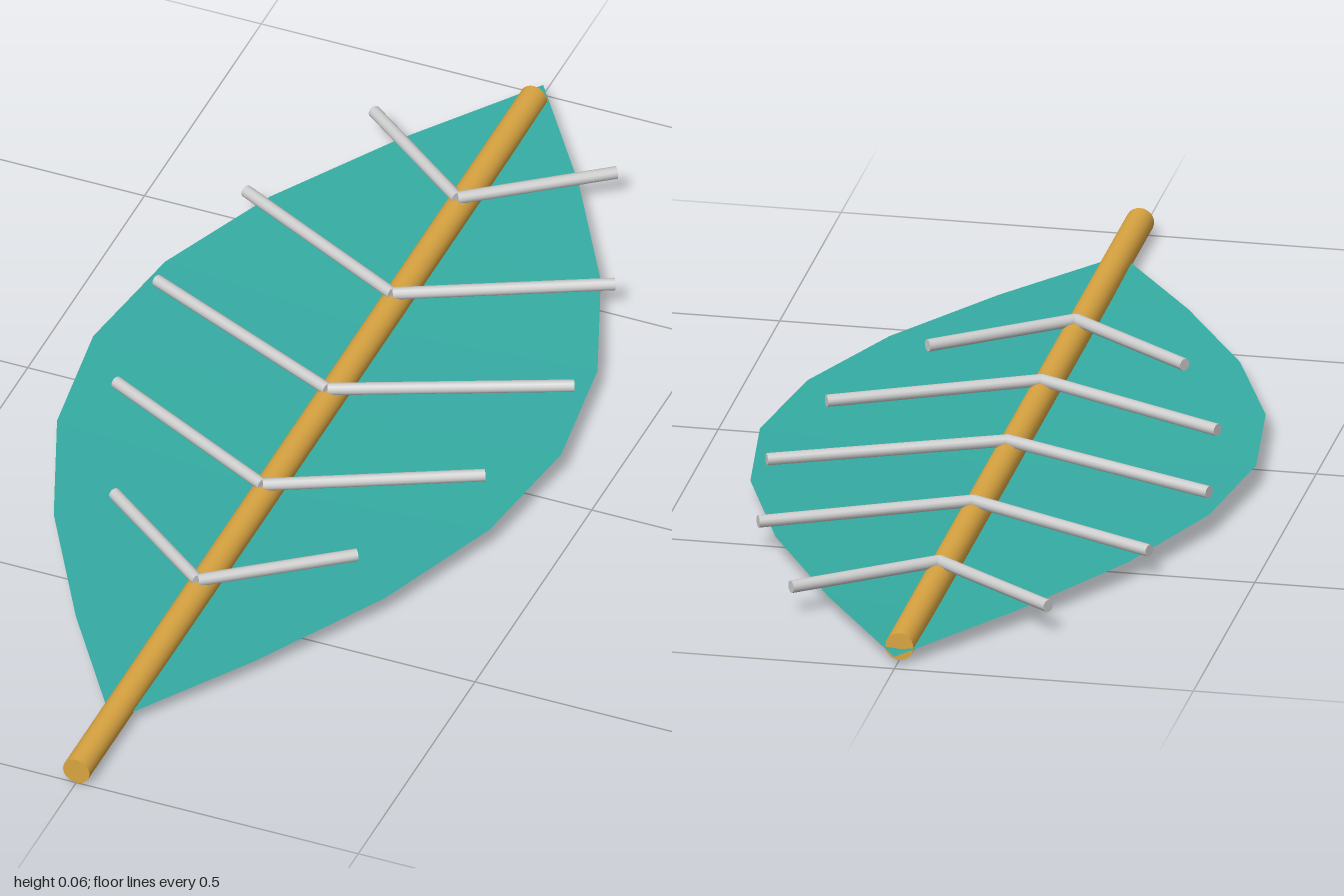
import * as THREE from 'three';

const STEM_R = 0.0235;

// Round rod between two points
function rod(a, b, radius, sides, material, name) {
  const dir = b.clone().sub(a);
  const mesh = new THREE.Mesh(new THREE.CylinderGeometry(radius, radius, dir.length(), sides), material);
  mesh.position.copy(a).add(b).multiplyScalar(0.5);
  mesh.quaternion.setFromUnitVectors(new THREE.Vector3(0, 1, 0), dir.normalize());
  mesh.name = name;
  return mesh;
}

// Thin blade folded along its midline: left edge, midline and right edge per row
function bladeGeometry(rows = 8) {
  const positions = [];
  const index = [];
  for (let i = 0; i <= rows; i++) {
    const t = i / rows;
    const s = Math.sin(Math.PI * t);
    const z = -1 + 1.85 * t;
    const w = 0.415 * s;
    const edgeY = 0.021 + 0.016 * s;
    const midY = 0.021 - 0.018 * s;
    positions.push(-w, edgeY, z, 0, midY, z, w, edgeY, z);
    if (i === rows) break;
    for (const c of [0, 1]) {
      const a = i * 3 + c;
      const b = a + 3;
      // Rows at the two tips have no width, so one triangle is enough there
      if (i > 0) index.push(a, c === 0 || i < rows - 1 ? b : b - c, a + 1);
      if (i < rows - 1) index.push(a + 1, b, b + 1);
    }
  }
  const geometry = new THREE.BufferGeometry();
  geometry.setAttribute('position', new THREE.Float32BufferAttribute(positions, 3));
  geometry.setIndex(index);
  geometry.computeVertexNormals();
  return geometry;
}

export function createModel() {
  const model = new THREE.Group();
  model.name = 'leaf';
  const teal = new THREE.MeshStandardMaterial({ color: 0x35aca3, side: THREE.DoubleSide, flatShading: true });
  const gold = new THREE.MeshStandardMaterial({ color: 0xd9a441 });
  const grey = new THREE.MeshStandardMaterial({ color: 0xcccccc });

  // Blade
  const blade = new THREE.Mesh(bladeGeometry(), teal);
  blade.name = 'blade';
  model.add(blade);

  // Central stem, running out past the base of the blade
  model.add(rod(new THREE.Vector3(0, STEM_R, 1), new THREE.Vector3(0, STEM_R, -0.96), STEM_R, 24, gold, 'stem'));

  // Five mirrored pairs of side veins, longest in the middle
  const veins = new THREE.Group();
  veins.name = 'veins';
  [0.215, 0.327, 0.37, 0.327, 0.215].forEach((reach, i) => {
    const z = 0.48 - 0.278 * i;
    for (const side of [-1, 1]) {
      veins.add(rod(
        new THREE.Vector3(0, 0.049, z),
        new THREE.Vector3(side * reach, 0.049, z - 0.163),
        0.0105, 12, grey, side > 0 ? 'leftVein' : 'rightVein'));
    }
  });
  model.add(veins);
  return model;
}
